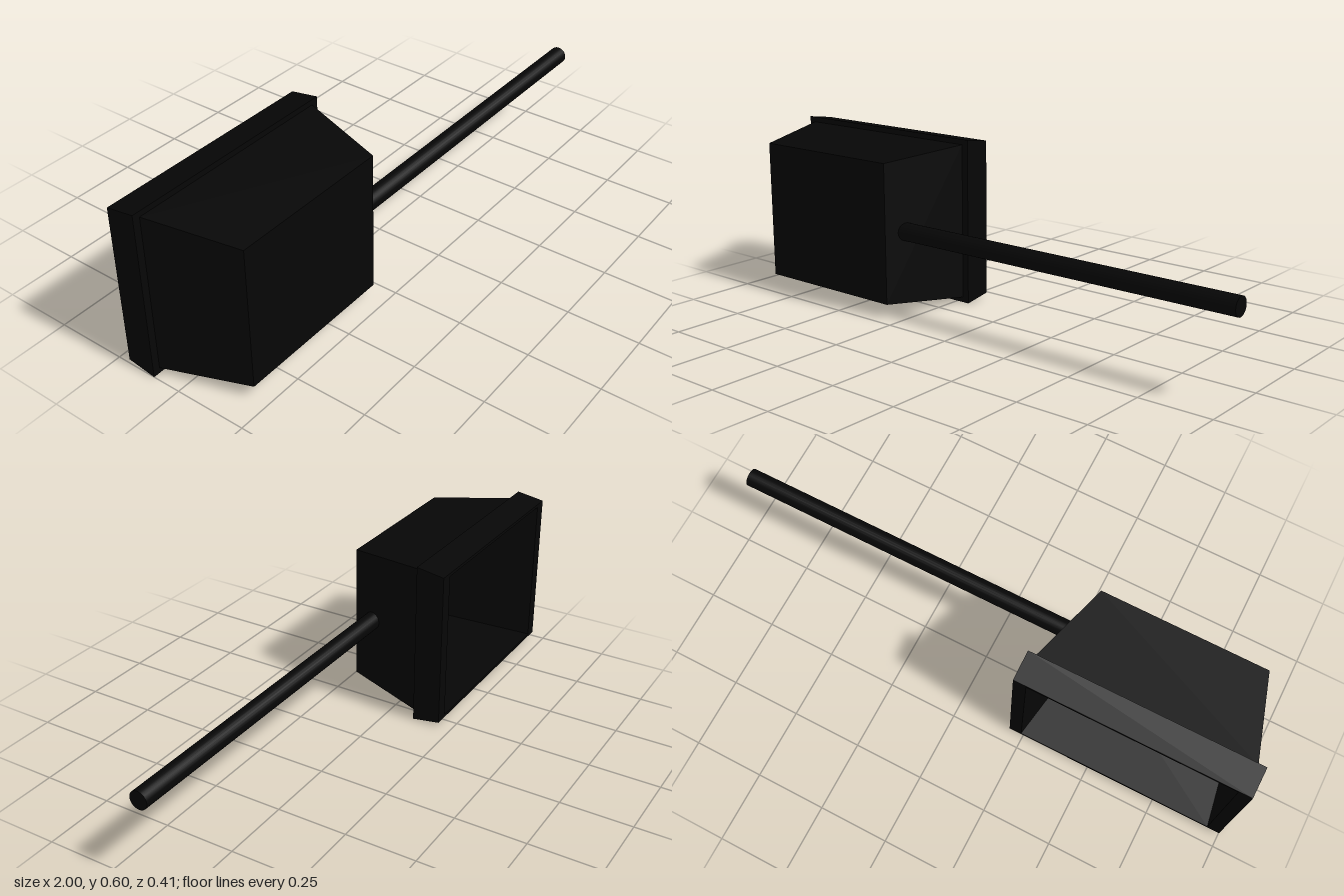
import * as THREE from 'three';

// Flat-sided skin through rectangular sections [halfWidth, halfHeight, z];
// the first section is capped towards +z, the last (cavity floor) towards -z
function rectLoft(sections) {
  const rings = sections.map(([w, h, z]) =>
    [[-w, -h, z], [w, -h, z], [w, h, z], [-w, h, z]]);
  const pos = [];
  const quad = (a, b, c, d) => pos.push(...a, ...b, ...c, ...a, ...c, ...d);
  for (let i = 0; i < rings.length - 1; i++) {
    for (let k = 0; k < 4; k++) {
      const n = (k + 1) % 4;
      quad(rings[i][k], rings[i + 1][k], rings[i + 1][n], rings[i][n]);
    }
  }
  const first = rings[0], last = rings[rings.length - 1];
  quad(first[0], first[1], first[2], first[3]);
  quad(last[3], last[2], last[1], last[0]);
  const geo = new THREE.BufferGeometry();
  geo.setAttribute('position', new THREE.Float32BufferAttribute(pos, 3));
  geo.computeVertexNormals();
  return geo;
}

export function createModel() {
  const group = new THREE.Group();
  const dark = { color: 0x060606 };

  // Tapered hollow head: closed front, stepped rim, open back, inner cavity
  const head = new THREE.Mesh(
    rectLoft([
      [0.291, 0.249, 0.203],
      [0.376, 0.279, -0.101],
      [0.401, 0.298, -0.101],
      [0.401, 0.282, -0.203],
      [0.356, 0.271, -0.203],
      [0.287, 0.245, 0.196],
    ]),
    new THREE.MeshStandardMaterial({ ...dark, flatShading: true, side: THREE.DoubleSide }));
  head.name = 'hollowHead';
  head.position.set(-0.599, 0.298, 0);
  group.add(head);

  // Long round handle running out of the side wall
  const start = -0.3, end = 1;
  const handle = new THREE.Mesh(
    new THREE.CylinderGeometry(0.032, 0.032, end - start, 24),
    new THREE.MeshStandardMaterial(dark));
  handle.name = 'handle';
  handle.rotation.z = -Math.PI / 2;
  handle.position.set((start + end) / 2, 0.298, 0.122);
  group.add(handle);

  return group;
}
